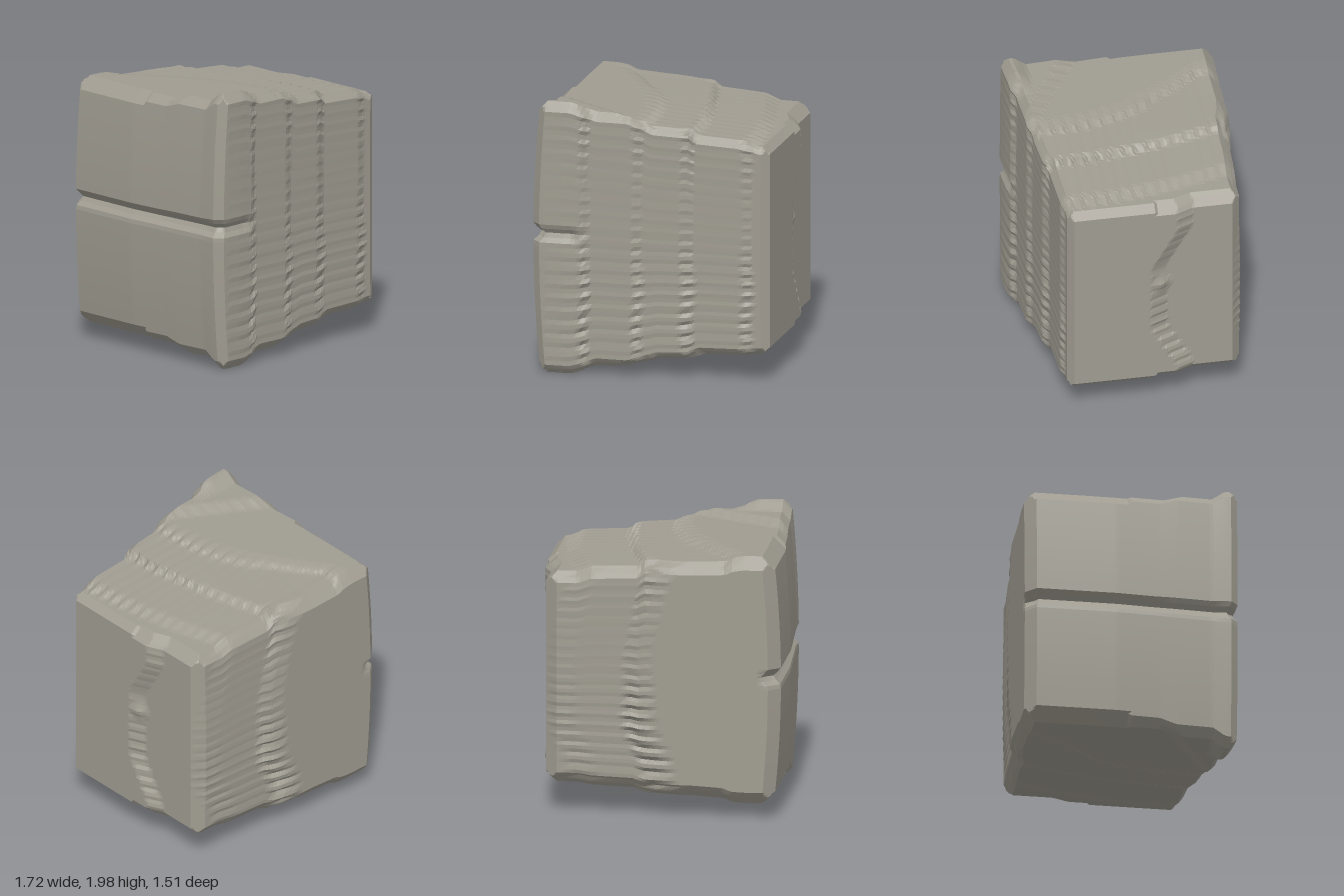
import * as THREE from 'three';

const clamp = THREE.MathUtils.clamp;
const lerp = THREE.MathUtils.lerp;
const ramp = (t, from, to) => clamp((t - from) / (to - from), 0, 1);

// Piecewise linear profile through [position, value] points
function profile(points, t) {
  if (t <= points[0][0]) return points[0][1];
  for (let i = 1; i < points.length; i++) {
    const [t0, v0] = points[i - 1], [t1, v1] = points[i];
    if (t <= t1) return lerp(v0, v1, (t - t0) / (t1 - t0));
  }
  return points[points.length - 1][1];
}

// Jagged teeth along a terrace edge, -1 to 1
function teeth(t) {
  const n = Math.floor(t / 0.09);
  const f = t / 0.09 - n;
  const size = 0.6 + 0.4 * Math.sin(n * 12.9);
  return (1 - 4 * Math.abs(f - 0.5)) * size;
}

// Stepped outlines of the four long sides, from the large end to the small one
const TOP = [[-0.1, 1.892], [-0.02, 1.88], [0.03, 1.852], [0.29, 1.84],
  [0.34, 1.795], [0.68, 1.78], [0.78, 1.74]];
const BOTTOM = [[-0.08, 0.118], [0.0, 0.125], [0.05, 0.15], [0.29, 0.165],
  [0.38, 0.2], [0.68, 0.21], [0.78, 0.225]];
const FRONT = [[-0.72, 0.757], [-0.6, 0.748], [-0.47, 0.732], [-0.42, 0.7], [-0.1, 0.682],
  [-0.04, 0.655], [0.24, 0.632], [0.32, 0.597], [0.67, 0.58], [0.74, 0.555]];
const BACK = [[0.05, -0.755], [0.15, -0.74], [0.25, -0.71], [0.6, -0.7], [0.8, -0.685]];

// Pulls the edge between two axes of the unit cube in to a bevel, wider at the back
function bevel(p, i, j) {
  const width = p[2] < 0 ? 0.1 : 1 / 15;
  const over = Math.abs(p[i]) + Math.abs(p[j]) - (2 - width);
  if (over <= 1e-6) return;
  p[i] -= Math.sign(p[i]) * over / 2;
  p[j] -= Math.sign(p[j]) * over / 2;
}

// Maps a point of the unit cube onto the tapered, terraced block
function shapePoint(a, b, c) {
  const p = [a, b, c];
  bevel(p, 0, 1);
  bevel(p, 1, 2);
  bevel(p, 0, 2);
  const zGuess = p[2] * 0.67, yGuess = 1 + p[1] * 0.85;

  // End faces: a bulging large end and a small end creased near the middle
  const left = -0.862 + 0.045 * ramp(zGuess, -0.1, 0.5) + 0.05 * p[1] ** 2;
  const crease = -0.2 * ramp(Math.abs(yGuess - 0.95), 0.3, 0.65) + 0.02 * teeth(yGuess);
  const right = 0.805 + 0.055 * ramp(zGuess, crease - 0.1, crease + 0.03);
  let x = lerp(left, right, (p[0] + 1) / 2);

  // Front and back
  const front = profile(FRONT, x + 0.035 * teeth(yGuess));
  const back = profile(BACK, x + 0.2 * p[1] ** 2 + 0.08 * teeth(yGuess));
  let z = lerp(back, front, (p[2] + 1) / 2);

  // Top and bottom: terraces curving toward the large end, and one raised corner
  const s = ramp(z, 0.62, -0.6);
  const bend = lerp(0.5, 0.2, ramp(x, -0.25, 0.1)) * s * s;
  const slant = x + bend + 0.03 * teeth(z);
  const shelf = ramp(z - 0.58 * (x + 0.7) + 0.03 * teeth(x), 0.25, 0.37);
  const ridge = ramp(z, 0.58, 0.67) * ramp(x, -0.36, -0.54);
  const raise = 0.04 * shelf + 0.065 * ridge;
  const top = profile(TOP, slant) + raise;
  const bottom = profile(BOTTOM, slant) - raise;
  const y = lerp(bottom, top, (p[1] + 1) / 2);

  // Groove across the large end, running out along the front and back
  const groove = clamp(1 - Math.abs(y - 1.03) / 0.06, 0, 1);
  x += 0.06 * groove * ramp(x, -0.7, -0.78);
  z -= 0.04 * groove * ramp(x, -0.43, -0.53) * ramp(p[2], 0.85, 0.95);
  z += 0.04 * groove * ramp(x, -0.7, -0.8) * ramp(p[2], -0.85, -0.95);

  // Small nub on the small end
  const nub = clamp(1 - Math.hypot(y - 1.05, z + 0.12) / 0.08, 0, 1);
  x += 0.03 * nub * ramp(p[0], 0.9, 1);
  return [x, y, z];
}

export function createModel() {
  const group = new THREE.Group();
  group.name = 'stoneBlock';
  const stone = new THREE.MeshStandardMaterial({ color: 0xa09c91 });
  stone.name = 'warm grey stone';

  const cube = new THREE.BoxGeometry(2, 2, 2, 60, 60, 60);
  const pos = cube.attributes.position;
  for (let i = 0; i < pos.count; i++) {
    pos.setXYZ(i, ...shapePoint(pos.getX(i), pos.getY(i), pos.getZ(i)));
  }

  // Faceted normals
  const geometry = cube.toNonIndexed();
  geometry.clearGroups();
  geometry.computeVertexNormals();

  const block = new THREE.Mesh(geometry, stone);
  block.name = 'block';
  group.add(block);
  return group;
}
